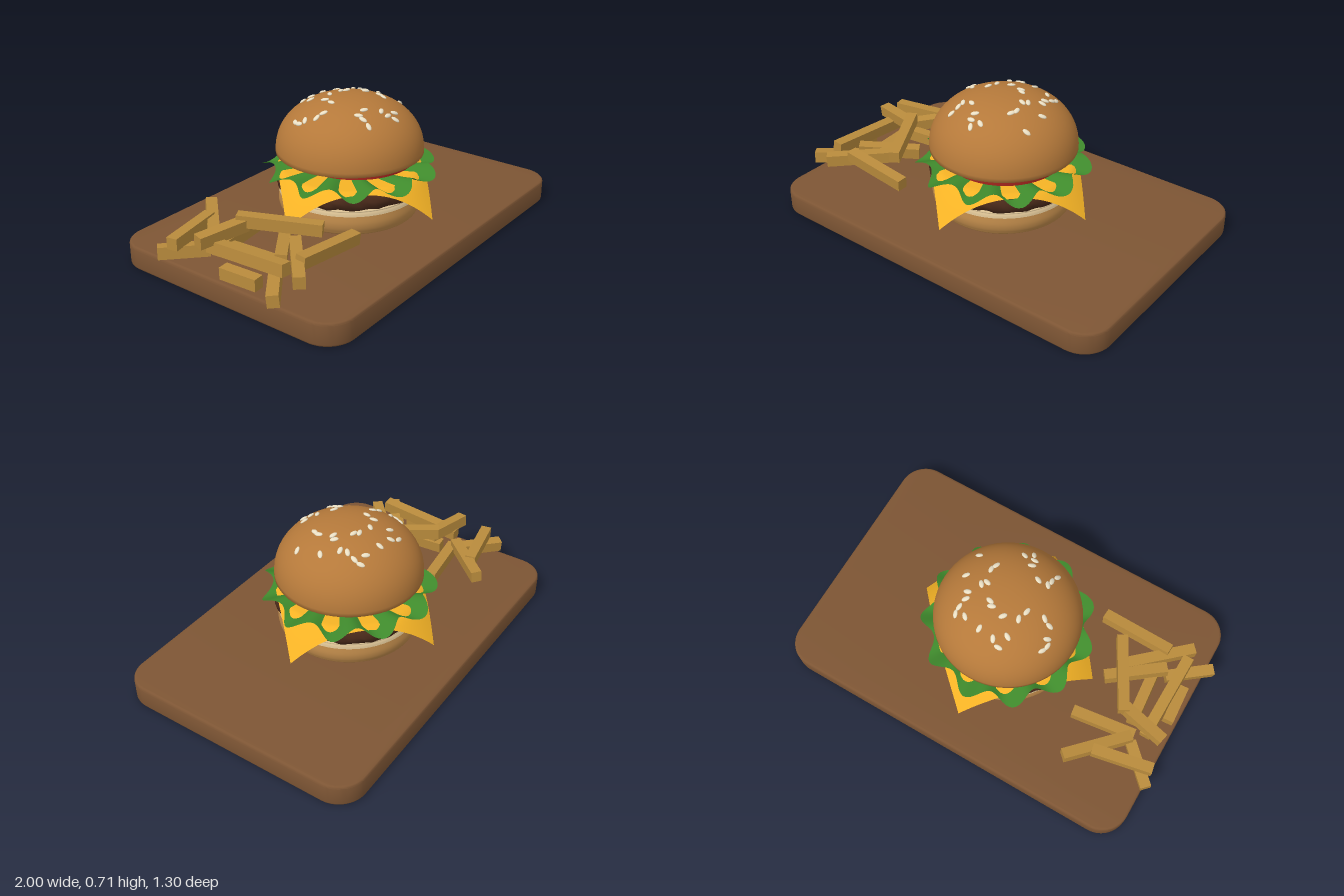
import * as THREE from 'three';
import { mergeVertices, toCreasedNormals } from 'three/addons/utils/BufferGeometryUtils.js';

const material = (color, side = THREE.FrontSide) => new THREE.MeshStandardMaterial({ color, side });

function addPart(parent, name, geometry, mat) {
  const mesh = new THREE.Mesh(geometry, mat);
  mesh.name = name;
  parent.add(mesh);
  return mesh;
}

// Moves every vertex by a rule, then rebuilds smooth normals
function reshape(geometry, rule) {
  geometry.deleteAttribute('uv');
  geometry.deleteAttribute('normal');
  const g = mergeVertices(geometry);
  const v = new THREE.Vector3();
  const p = g.attributes.position;
  for (let i = 0; i < p.count; i++) {
    rule(v.fromBufferAttribute(p, i));
    p.setXYZ(i, v.x, v.y, v.z);
  }
  g.computeVertexNormals();
  return g;
}

const lathe = (points, segments = 64) =>
  new THREE.LatheGeometry(points.map(([r, y]) => new THREE.Vector2(r, y)), segments);

// Curved profile through a few points
const smoothLathe = (points, steps = 24) =>
  new THREE.LatheGeometry(new THREE.SplineCurve(points.map(([r, y]) => new THREE.Vector2(r, y))).getPoints(steps), 64);

function boardGeometry(w, d, h, r, bevel) {
  const x = w / 2 - bevel, z = d / 2 - bevel, s = new THREE.Shape();
  s.absarc(x - r, z - r, r, 0, Math.PI / 2);
  s.absarc(-x + r, z - r, r, Math.PI / 2, Math.PI);
  s.absarc(-x + r, -z + r, r, Math.PI, Math.PI * 1.5);
  s.absarc(x - r, -z + r, r, Math.PI * 1.5, Math.PI * 2);
  const g = new THREE.ExtrudeGeometry(s, {
    depth: h - 2 * bevel, bevelSize: bevel, bevelThickness: bevel, bevelSegments: 3, curveSegments: 10,
  });
  g.rotateX(-Math.PI / 2).translate(0, bevel, 0);
  return toCreasedNormals(g, 0.6);
}

// Dome of the top bun: height at radius r
const BUN_R = 0.37, BUN_Y = 0.43, BUN_H = 0.28, POWER = 2.2;
const domeY = (r) => BUN_Y + BUN_H * Math.pow(Math.max(0, 1 - Math.pow(r / BUN_R, POWER)), 1 / POWER);

// Seed positions on the bun as x, z pairs
const SEEDS = [
  -.06, -.23, -.075, -.17, -.02, -.21, .06, -.2, -.24, -.13, -.235, -.075, -.215, -.02, -.18, -.005,
  -.08, -.075, -.095, -.025, -.01, -.1, .06, -.085, .08, -.065, .15, -.18, .2, -.185, .2, -.15,
  .19, -.105, .2, -.07, .14, .01, .16, -.01, .16, .08, .15, .11, .255, .005, .26, .135,
  -.06, .145, -.11, .15, -.115, .18, -.125, .22, .005, .2, .01, .235, .065, .235, .03, .265, -.25, -.1,
];

// Fries: centre x, y, z, length, direction x, direction z
const FRIES = [
  [-.80, .215, -.30, .31, 60, -12], [-.66, .205, -.30, .36, 45, -48], [-.88, .155, -.27, .24, 33, 32],
  [-.63, .155, -.17, .33, 61, -8], [-.80, .265, -.10, .26, 45, 10], [-.845, .225, .09, .46, -2, 80],
  [-.60, .28, .07, .40, 36, 66], [-.65, .21, .13, .32, 48, -35], [-.885, .16, .28, .25, 36, -28],
  [-.72, .205, .27, .36, 50, -46], [-.56, .215, .32, .38, 72, 4], [-.74, .165, .05, .30, 4, 50],
  [-.90, .15, .10, .20, 3, 50],
];

export function createModel() {
  const model = new THREE.Group();
  model.name = 'burgerBoard';

  // Serving board
  addPart(model, 'board', boardGeometry(1.95, 1.305, 0.115, 0.13, 0.012), material(0x7d5534)).position.x = 0.022;

  const burger = new THREE.Group();
  burger.name = 'burger';
  burger.position.x = 0.022;
  model.add(burger);

  // Bottom bun: crust and pale cut side
  addPart(burger, 'bottomBunCrust', smoothLathe([
    [0, 0.115], [0.18, 0.115], [0.32, 0.116], [0.35, 0.14], [0.361, 0.18], [0.357, 0.222],
  ]), material(0xbf8a4a));
  addPart(burger, 'bottomBunCrumb', smoothLathe([
    [0.357, 0.222], [0.35, 0.24], [0.33, 0.25], [0.15, 0.252], [0, 0.252],
  ]), material(0xd8bf92));

  // Patty with a rough rim
  const pattyProfile = [[0.0001, 0.242], [0.2, 0.242], [0.33, 0.244], [0.36, 0.258], [0.371, 0.28],
    [0.374, 0.3], [0.367, 0.325], [0.345, 0.34], [0.2, 0.343], [0.0001, 0.343]];
  addPart(burger, 'patty', reshape(lathe(pattyProfile, 96), (v) => {
    const a = Math.atan2(v.z, v.x), rim = Math.min(1, Math.hypot(v.x, v.z) / 0.35) ** 6;
    const n = Math.sin(a * 13 + v.y * 60) + Math.sin(a * 29 - v.y * 90 + 1) * 0.7 + Math.sin(a * 7 + 2) * 0.5;
    const k = 1 + 0.009 * n * rim;
    v.x *= k;
    v.z *= k;
    v.y += 0.004 * Math.sin(a * 17 + 0.5) * rim;
  }), material(0x4a2a1a));

  // Cheese slice, its corners bending down past the patty
  const cheese = new THREE.PlaneGeometry(0.735, 0.735, 32, 32);
  cheese.rotateX(-Math.PI / 2).rotateY(Math.PI / 4);
  addPart(burger, 'cheese', reshape(cheese, (v) => {
    const s = Math.hypot(v.x, v.z), t = Math.max(0, (s - 0.35) / 0.17);
    const k = t > 0 ? (0.35 + 0.148 * t) / s : 1;
    v.set(v.x * k, 0.35 - 0.17 * Math.pow(t, 1.2), v.z * k);
  }), material(0xf5b325, THREE.DoubleSide));

  // Lettuce leaf with eleven waves
  const leaf = new THREE.RingGeometry(0.02, 0.41, 176, 14);
  leaf.rotateX(-Math.PI / 2);
  addPart(burger, 'lettuce', reshape(leaf, (v) => {
    const s = Math.hypot(v.x, v.z) / 0.41, a = Math.atan2(v.z, v.x);
    const k = 1 + 0.08 * s ** 4 * Math.cos(11 * (a - 0.12));
    v.x *= k;
    v.z *= k;
    v.y = 0.352 + 0.023 * s * Math.sin(11 * a + 0.4 + 2 * s);
  }), material(0x3f8a2c, THREE.DoubleSide));

  // Tomato slice, a little off centre
  addPart(burger, 'tomato', new THREE.CylinderGeometry(0.295, 0.295, 0.036, 48), material(0xa3251d))
    .position.set(0.022, 0.403, 0.02);

  // Top bun: dome and pale underside
  const dome = [[0.355, BUN_Y - 0.002]];
  for (let i = 0; i <= 28; i++) {
    const r = BUN_R * Math.cos((i / 28) * Math.PI / 2);
    dome.push([Math.max(r, 0), domeY(r)]);
  }
  addPart(burger, 'topBunDome', lathe(dome), material(0xb5793a));
  const under = addPart(burger, 'topBunUnderside', new THREE.CircleGeometry(0.356, 64), material(0xd8c49a));
  under.rotation.x = Math.PI / 2;
  under.position.y = BUN_Y - 0.002;

  // Sesame seeds lying flat on the dome
  const seeds = new THREE.Group();
  seeds.name = 'sesameSeeds';
  burger.add(seeds);
  const seedGeometry = new THREE.SphereGeometry(1, 12, 8).scale(0.022, 0.007, 0.012);
  const seedMaterial = material(0xeadfc4);
  const up = new THREE.Vector3(0, 1, 0);
  for (let i = 0; i < SEEDS.length; i += 2) {
    const x = SEEDS[i] - 0.022, z = SEEDS[i + 1], r = Math.hypot(x, z);
    const slope = (domeY(r - 0.005) - domeY(r + 0.005)) / 0.01;
    const normal = new THREE.Vector3(x / r * slope, 1, z / r * slope).normalize();
    const seed = addPart(seeds, 'seed', seedGeometry, seedMaterial);
    seed.position.set(x, domeY(r) + 0.002, z);
    seed.quaternion.setFromUnitVectors(up, normal);
    seed.rotateY(i * 1.3);
  }

  // Heap of fries
  const fries = new THREE.Group();
  fries.name = 'fries';
  model.add(fries);
  const fryMaterial = material(0xb98b3c);
  FRIES.forEach(([x, y, z, length, dx, dz], i) => {
    const fry = addPart(fries, 'fry', new THREE.BoxGeometry(length, 0.06, 0.055), fryMaterial);
    fry.position.set(x, y, z);
    fry.rotation.set(0.1 * Math.sin(i * 2.1), Math.atan2(-dz, dx), y > 0.18 ? 0.08 * Math.sin(i * 1.7) : 0, 'YXZ');
  });

  return model;
}
